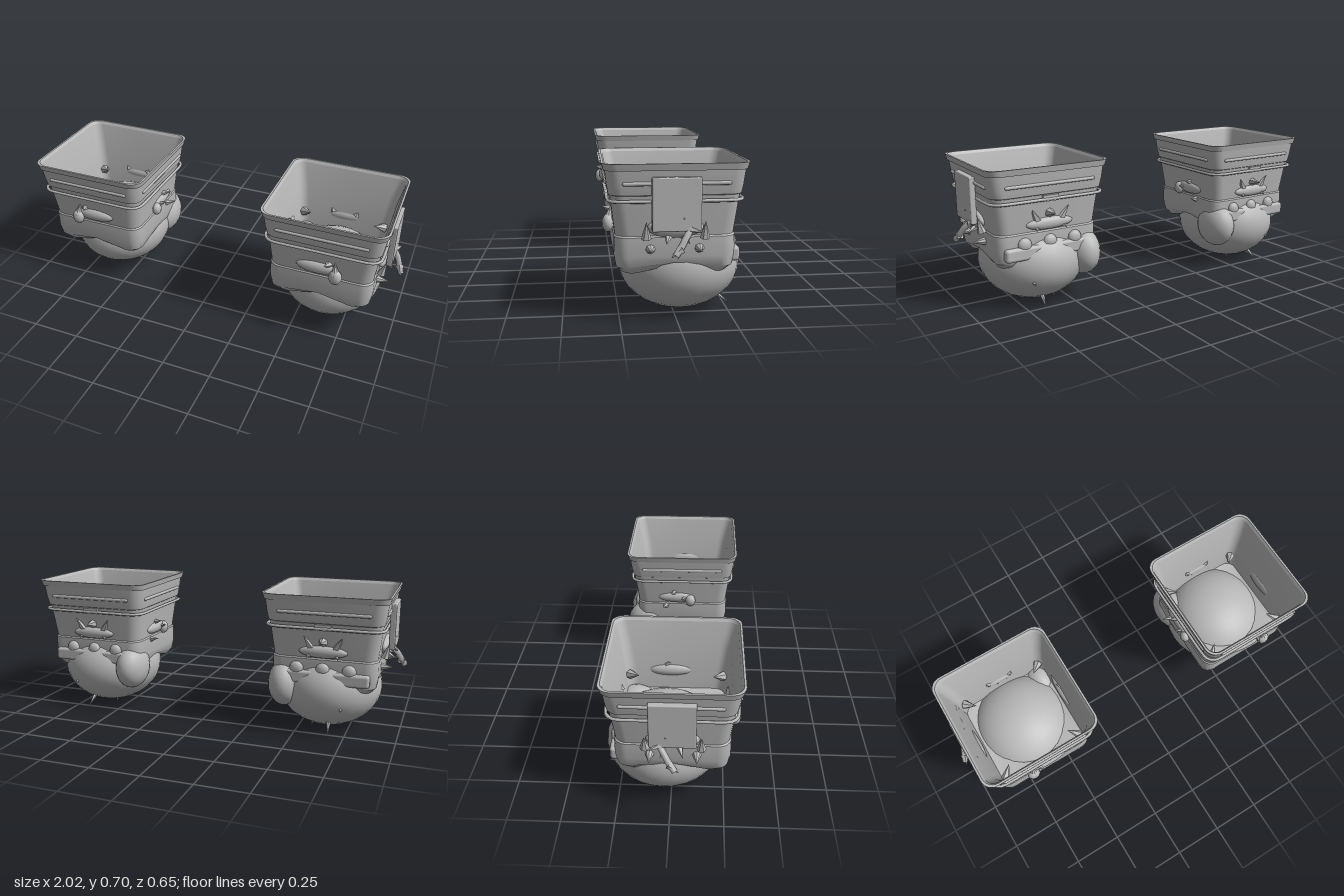
import * as THREE from 'three';
import { toCreasedNormals } from 'three/addons/utils/BufferGeometryUtils.js';
import { RoundedBoxGeometry } from 'three/addons/geometries/RoundedBoxGeometry.js';

const grey = new THREE.MeshStandardMaterial({ color: 0xbababa, side: THREE.DoubleSide });
grey.name = 'plainGrey';

// Outline of a rounded square, counted from +x towards +z
function roundedSquare(hx, hz, r, steps = 6) {
  const points = [];
  [[1, 1], [-1, 1], [-1, -1], [1, -1]].forEach(([sx, sz], q) => {
    for (let i = 0; i <= steps; i++) {
      const a = (q + i / steps) * Math.PI / 2;
      points.push([sx * (hx - r) + r * Math.cos(a), sz * (hz - r) + r * Math.sin(a)]);
    }
    // midpoint of the following straight side, for the wavy hem
    points.push([[0, hz], [-hx, 0], [0, -hz], [hx, 0]][q]);
  });
  return points;
}

// Skin through rounded-square rings: [half width, height, corner radius, wave]
function loft(rings) {
  const position = [], index = [];
  let n = 0;
  for (const [h, y, r, wave = 0] of rings) {
    const outline = roundedSquare(h, h, r);
    n = outline.length;
    for (const [x, z] of outline) {
      position.push(x, y + wave * Math.cos(4 * Math.atan2(z, x)), z + 0.01);
    }
  }
  for (let k = 0; k < rings.length - 1; k++) {
    for (let i = 0; i < n; i++) {
      const j = (i + 1) % n, a = k * n + i, b = k * n + j;
      index.push(a, b, a + n, b, b + n, a + n);
    }
  }
  const g = new THREE.BufferGeometry();
  g.setAttribute('position', new THREE.Float32BufferAttribute(position, 3));
  g.setIndex(index);
  g.computeVertexNormals();
  return toCreasedNormals(g, 0.6);
}

// One cuff; s = 1 for the left, -1 for its mirror image
function makeCuff(s) {
  const cuff = new THREE.Group();
  const add = (name, geometry, x = 0, y = 0, z = 0) => {
    const m = new THREE.Mesh(geometry, grey);
    m.name = name;
    m.position.set(s * x, y, z);
    cuff.add(m);
    return m;
  };
  const ellipsoid = (name, c, r, w = 20, h = 14) =>
    add(name, new THREE.SphereGeometry(1, w, h), ...c).scale.set(...r);
  // Tapered stud running from a base point to a tip
  const spike = (name, from, to, radius, sides = 8) => {
    const a = new THREE.Vector3(s * from[0], from[1], from[2]);
    const b = new THREE.Vector3(s * to[0], to[1], to[2]);
    const dir = b.clone().sub(a);
    const g = toCreasedNormals(new THREE.ConeGeometry(radius, dir.length(), sides), 0.5);
    const m = add(name, g);
    m.position.copy(a).lerp(b, 0.5);
    m.quaternion.setFromUnitVectors(new THREE.Vector3(0, 1, 0), dir.normalize());
  };

  // Flared sleeve, open at the top, with a wavy hem
  add('rim', loft([[0.294, 0.69, 0.05], [0.303, 0.705, 0.06], [0.313, 0.705, 0.06], [0.306, 0.675, 0.06], [0.296, 0.675, 0.06]]));
  add('upperSleeve', loft([[0.302, 0.69, 0.06], [0.293, 0.61, 0.06], [0.286, 0.57, 0.06], [0.277, 0.565, 0.06]]));
  add('middleSleeve', loft([[0.28, 0.57, 0.06], [0.27, 0.49, 0.06], [0.258, 0.39, 0.06]]));
  add('lowerSleeve', loft([[0.252, 0.4, 0.06], [0.263, 0.385, 0.06], [0.263, 0.3, 0.06],
    [0.255, 0.262, 0.06, 0.012], [0.235, 0.24, 0.08, 0.02], [0.21, 0.25, 0.1, 0.02]]));
  add('lining', loft([[0.294, 0.69, 0.05], [0.265, 0.56, 0.05], [0.245, 0.4, 0.05], [0.24, 0.33, 0.05], [0.208, 0.32, 0.207]]));

  // Round bottom and the swelling on its inner back corner
  ellipsoid('roundBottom', [0, 0.215, -0.035], [0.267, 0.215, 0.28], 28, 18);
  ellipsoid('heelBulge', [-0.2, 0.24, -0.19], [0.085, 0.12, 0.125]);

  // Piping: a full cord and a shorter raised bar on each side
  const cordPath = new THREE.CatmullRomCurve3(
    roundedSquare(0.289, 0.289, 0.06).filter((p, i) => i % 8 !== 6)
      .map(([x, z]) => new THREE.Vector3(x, 0.545, z + 0.01)), true);
  add('cord', new THREE.TubeGeometry(cordPath, 96, 0.008, 6, true));
  for (let i = 0; i < 4; i++) {
    const a = i * Math.PI / 2;
    const bar = add('raisedBar', new THREE.CapsuleGeometry(0.009, 0.44, 3, 8),
      0.294 * Math.cos(a), 0.62, 0.01 + 0.294 * Math.sin(a));
    bar.rotation.set(Math.PI / 2, 0, i % 2 ? Math.PI / 2 : 0);
  }

  // Outer plate with its button
  add('plate', new RoundedBoxGeometry(0.03, 0.228, 0.208, 2, 0.006), 0.307, 0.535, 0.014);
  spike('plateButton', [0.318, 0.477, -0.015], [0.327, 0.477, -0.015], 0.006);
  ellipsoid('plateBacking', [0.27, 0.43, 0.014], [0.03, 0.045, 0.12]);

  // Outer studs, little horns and the hanging claw
  for (const side of [-1, 1]) {
    const z = 0.015 + side * 0.105;
    spike('outerStud', [0.25, 0.335, z], [0.325, 0.335, z], 0.025);
    spike('outerHorn', [0.28, 0.385, z + side * 0.02], [0.3, 0.462, z + side * 0.02], 0.022, 6);
    spike('claspHorn', [0.262, 0.4, 0.01 + side * 0.03], [0.33, 0.37, 0.01 + side * 0.05], 0.022, 5);
  }
  const clawPath = new THREE.CatmullRomCurve3([[0.3, 0.43, -0.05], [0.33, 0.4, -0.025], [0.35, 0.36, 0], [0.365, 0.328, 0.025]]
    .map(([x, y, z]) => new THREE.Vector3(s * x, y, z)));
  add('claw', new THREE.TubeGeometry(clawPath, 5, 0.016, 5));
  spike('clawTip', [0.35, 0.355, 0.0], [0.368, 0.322, 0.045], 0.022, 5);
  spike('clawBarb', [0.31, 0.43, -0.04], [0.34, 0.42, -0.09], 0.018, 5);

  // Front bar with a hanging drop
  ellipsoid('frontBar', [-0.01, 0.437, 0.272], [0.11, 0.034, 0.025]);
  ellipsoid('frontDrop', [0.085, 0.415, 0.293], [0.033, 0.04, 0.026], 12, 8);
  spike('frontDropTip', [0.085, 0.425, 0.293], [0.075, 0.49, 0.28], 0.026);
  spike('frontStud', [0.05, 0.47, 0.265], [0.03, 0.482, 0.322], 0.022, 5);

  // Inner side bar and spikes
  const innerBar = new THREE.Vector3(-0.258, 0.43, -0.02);
  ellipsoid('innerBar', innerBar.toArray(), [0.025, 0.032, 0.11]);
  ellipsoid('innerDrop', [-0.275, 0.415, 0.06], [0.025, 0.035, 0.03], 12, 8);
  for (const [y, z] of [[0.475, -0.03], [0.44, 0.03], [0.385, -0.08]]) {
    spike('innerSpike', [-0.25, y - 0.015, z], [-0.315, y, z - 0.02], 0.02, 5);
  }

  // Back log, round studs and star of spikes
  add('backLog', new RoundedBoxGeometry(0.44, 0.065, 0.05, 2, 0.015), 0.01, 0.295, -0.25);
  for (const x of [-0.13, 0, 0.13]) {
    ellipsoid('backKnob', [x, 0.335, -0.255], [0.035, 0.035, 0.022], 12, 8);
  }
  ellipsoid('backBar', [0, 0.425, -0.255], [0.12, 0.03, 0.022]);
  spike('backSpike', [0, 0.475, -0.25], [0, 0.482, -0.325], 0.026, 6);
  for (const x of [-0.06, 0.06]) {
    spike('backSideSpike', [x, 0.44, -0.25], [x * 1.6, 0.505, -0.272], 0.022, 5);
    spike('backLowSpike', [x, 0.42, -0.25], [x * 1.3, 0.395, -0.28], 0.02, 5);
  }
  add('backClip', new THREE.BoxGeometry(0.08, 0.03, 0.02), 0, 0.55, -0.272);

  // Studs inside the corners
  for (const x of [-1, 1]) for (const z of [-1, 1]) {
    spike('innerCornerStud', [x * 0.22, 0.42, 0.01 + z * 0.23], [x * 0.17, 0.45, 0.01 + z * 0.18], 0.025, 6);
  }

  // Small spikes under the round bottom
  spike('bottomSpike', [0.03, 0.065, -0.2], [0.04, 0.008, -0.27], 0.014, 5);
  spike('bottomSpike', [-0.06, 0.035, -0.12], [-0.07, 0.005, -0.145], 0.01, 5);
  spike('bottomSpike', [0.1, 0.15, -0.27], [0.1, 0.142, -0.3], 0.01, 5);

  return cuff;
}

export function createModel() {
  const model = new THREE.Group();
  model.name = 'pairOfCuffs';
  for (const [name, s] of [['leftCuff', 1], ['rightCuff', -1]]) {
    const cuff = makeCuff(s);
    cuff.name = name;
    cuff.position.x = s * 0.632;
    model.add(cuff);
  }
  return model;
}
